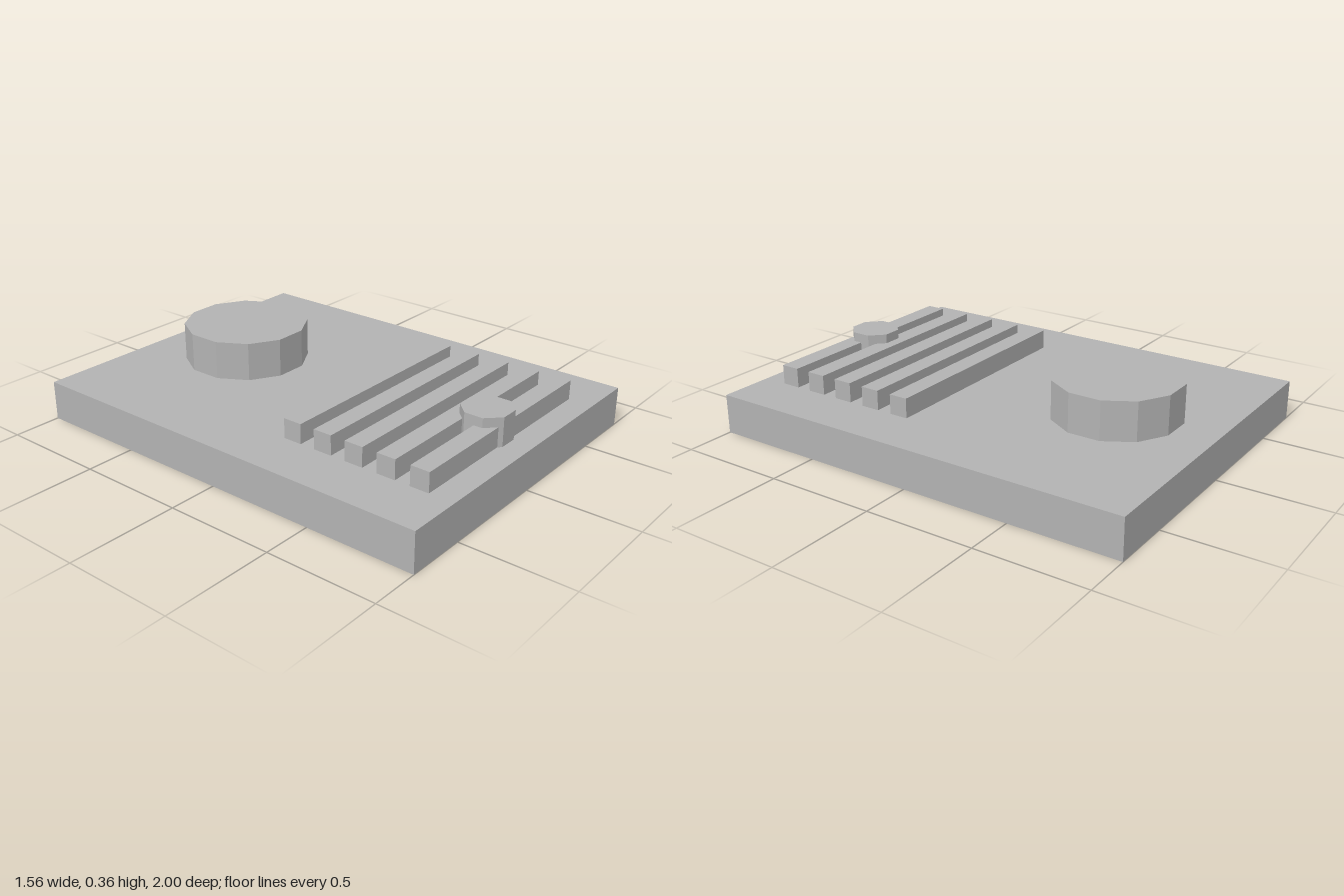
import * as THREE from 'three';

export function createModel() {
  const model = new THREE.Group();
  const grey = new THREE.MeshStandardMaterial({ color: 0xb2b2b2 });
  grey.name = 'plain grey';
  grey.flatShading = true;
  const baseTop = 0.18;

  const add = (name, geometry, x, y, z) => {
    const mesh = new THREE.Mesh(geometry, grey);
    mesh.name = name;
    mesh.position.set(x, y, z);
    model.add(mesh);
  };

  // Upright prism with flat sides facing the axes, standing on the base
  const addPrism = (name, radius, top, sides, z) => {
    const height = top - baseTop;
    const geometry = new THREE.CylinderGeometry(radius, radius, height, sides);
    geometry.rotateY(Math.PI / sides);
    add(name, geometry, 0, baseTop + height / 2, z);
  };

  // Flat slab
  add('base', new THREE.BoxGeometry(1.556, baseTop, 2), 0, baseTop / 2, 0);

  // Row of raised bars across the front half
  for (let i = 0; i < 5; i++) {
    add(`bar${i + 1}`, new THREE.BoxGeometry(1.066, 0.089, 0.087), 0, baseTop + 0.0445, 0.219 + i * 0.156);
  }

  // Large drum at the back and small knob at the front
  addPrism('drum', 0.288, 0.356, 12, -0.535);
  addPrism('knob', 0.113, 0.312, 8, 0.797);

  return model;
}
